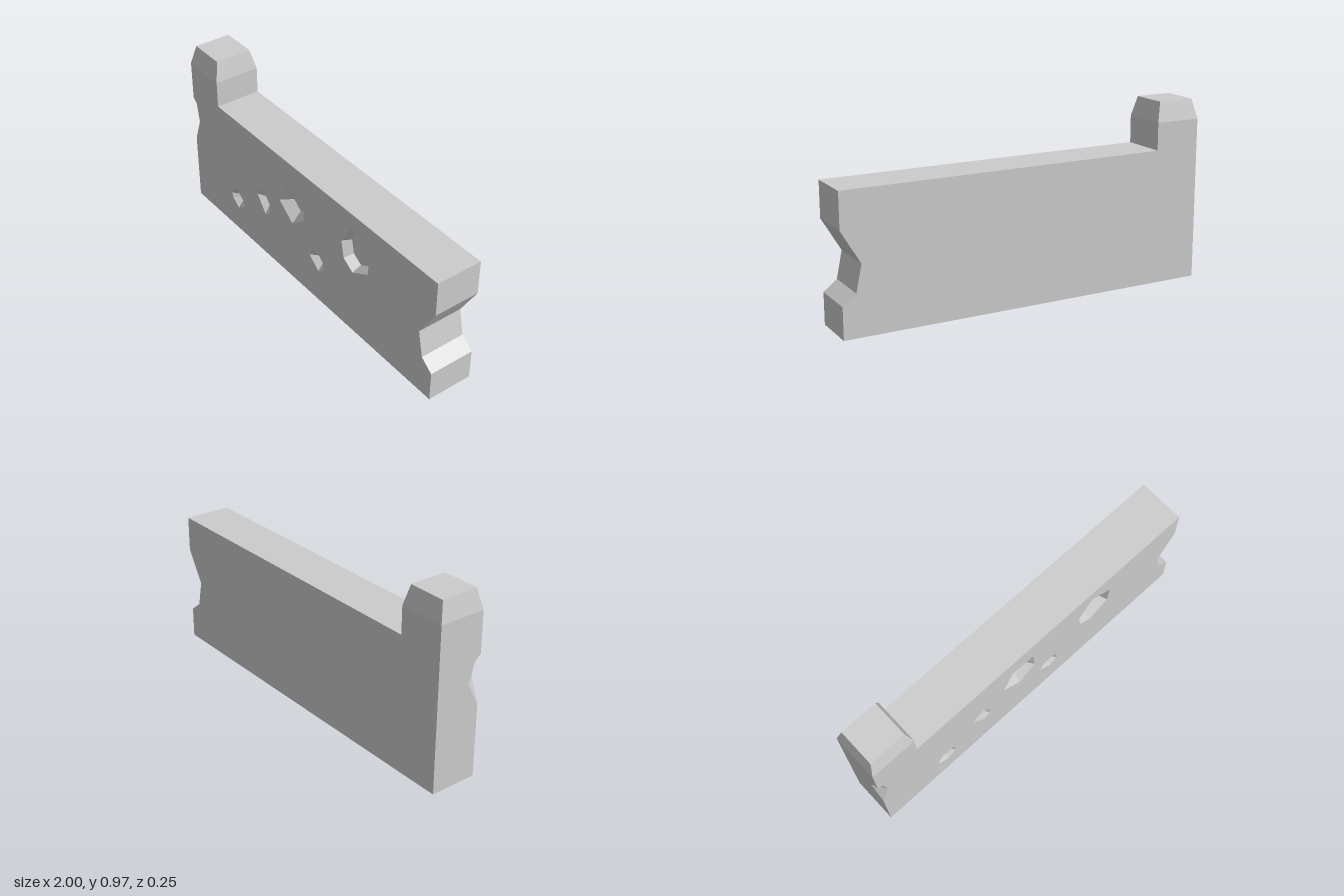
import * as THREE from 'three';

const HALF = 0.125; // half thickness of the wall
const material = new THREE.MeshStandardMaterial({ color: 0xcccccc, flatShading: true });

const toPoints = (pts) => pts.map(([x, y]) => new THREE.Vector2(x, y));

function addMesh(group, name, geometry) {
  const mesh = new THREE.Mesh(geometry, material);
  mesh.name = name;
  group.add(mesh);
  return mesh;
}

// Flat-shaded geometry from convex polygons, corners counter-clockwise from outside
function polygons(list) {
  const pos = [];
  for (const p of list) {
    for (let i = 1; i < p.length - 1; i++) pos.push(...p[0], ...p[i], ...p[i + 1]);
  }
  const g = new THREE.BufferGeometry();
  g.setAttribute('position', new THREE.Float32BufferAttribute(pos, 3));
  g.computeVertexNormals();
  return g;
}

// Broken right-hand end, straight top and the post on the other end
const outline = [
  [-1, 0], [1, 0], [1, 0.165], [0.93, 0.22], [0.9, 0.36], [1, 0.53],
  [1, 0.717], [-0.75, 0.717], [-0.75, 0.862], [-1, 0.862],
];

// Chip on the front edge of the post: its rim on the front face and on the side face
const chipFront = [[-1, 0.645], [-0.972, 0.625], [-0.952, 0.515], [-1, 0.385]];
const chipSide = [[HALF, 0.645], [0.092, 0.615], [0.058, 0.515], [HALF, 0.385]];

// Pits in the front face: clockwise rim, size of the floor relative to the rim, depth
const pits = [
  { name: 'pitLarge', floor: 0.8, depth: 0.05,
    rim: [[0.395, 0.64], [0.53, 0.55], [0.52, 0.435], [0.405, 0.37], [0.335, 0.415], [0.315, 0.51]] },
  { name: 'pitMiddle', floor: 0.5, depth: 0.05,
    rim: [[-0.2, 0.44], [-0.135, 0.58], [0, 0.565], [0.01, 0.435], [-0.09, 0.355]] },
  { name: 'pitSmallA', floor: 0.45, depth: 0.03,
    rim: [[-0.66, 0.21], [-0.615, 0.265], [-0.545, 0.25], [-0.54, 0.185], [-0.595, 0.145], [-0.645, 0.18]] },
  { name: 'pitSmallB', floor: 0.45, depth: 0.03,
    rim: [[-0.405, 0.355], [-0.38, 0.395], [-0.335, 0.405], [-0.29, 0.345], [-0.3, 0.285], [-0.335, 0.265]] },
  { name: 'pitSmallC', floor: 0.45, depth: 0.03,
    rim: [[0.055, 0.25], [0.08, 0.3], [0.145, 0.305], [0.17, 0.265], [0.17, 0.22], [0.13, 0.19]] },
];

// Sloping walls and a flat floor inside one pit
function pitGeometry({ rim, floor, depth }) {
  const n = rim.length;
  const cx = rim.reduce((s, p) => s + p[0], 0) / n;
  const cy = rim.reduce((s, p) => s + p[1], 0) / n;
  const top = rim.map(([x, y]) => [x, y, HALF]);
  const low = rim.map(([x, y]) => [cx + (x - cx) * floor, cy + (y - cy) * floor, HALF - depth]);
  const faces = [[...low].reverse()];
  for (let i = 0; i < n; i++) {
    const j = (i + 1) % n;
    faces.push([top[j], top[i], low[i], low[j]]);
  }
  return polygons(faces);
}

export function createModel() {
  const group = new THREE.Group();
  group.name = 'ruinedWall';

  // Front face with the pits and the chip cut out
  const front = new THREE.Shape(toPoints([...outline, ...chipFront]));
  for (const pit of pits) {
    front.holes.push(new THREE.Path(toPoints(pit.rim)));
    addMesh(group, pit.name, pitGeometry(pit));
  }
  addMesh(group, 'wallFront', new THREE.ShapeGeometry(front).translate(0, 0, HALF));

  // Plain back face
  const back = new THREE.Shape(toPoints(outline.map(([x, y]) => [-x, y])));
  addMesh(group, 'wallBack', new THREE.ShapeGeometry(back).rotateY(Math.PI).translate(0, 0, -HALF));

  // Bottom, broken end and top; the post top is covered by its cap
  const strips = [];
  for (let i = 0; i < outline.length - 2; i++) {
    const [ax, ay] = outline[i];
    const [bx, by] = outline[i + 1];
    strips.push([[ax, ay, HALF], [ax, ay, -HALF], [bx, by, -HALF], [bx, by, HALF]]);
  }
  addMesh(group, 'wallEdges', polygons(strips));

  // Outer side of the post, notched by the chip
  const side = new THREE.Shape(toPoints([
    [-HALF, 0], [HALF, 0], ...[...chipSide].reverse(), [HALF, 0.862], [-HALF, 0.862],
  ]));
  addMesh(group, 'postSide', new THREE.ShapeGeometry(side).rotateY(-Math.PI / 2).translate(-1, 0, 0));

  // Broken surface of the chip, spanning the two rims
  const f = chipFront.map(([x, y]) => [x, y, HALF]);
  const s = chipSide.map(([z, y]) => [-1, y, z]);
  const chip = addMesh(group, 'chip', polygons([
    [f[0], s[1], f[1]], [f[1], s[1], s[2], f[2]], [f[2], s[2], f[3]],
  ]));
  chip.material = material.clone();
  chip.material.side = THREE.DoubleSide;

  // Tapered cap on the post
  const cap = new THREE.CylinderGeometry(0.1 * Math.SQRT2, HALF * Math.SQRT2, 0.105, 4)
    .rotateY(Math.PI / 4).translate(-0.875, 0.862 + 0.0525, 0);
  addMesh(group, 'postCap', cap);

  return group;
}
